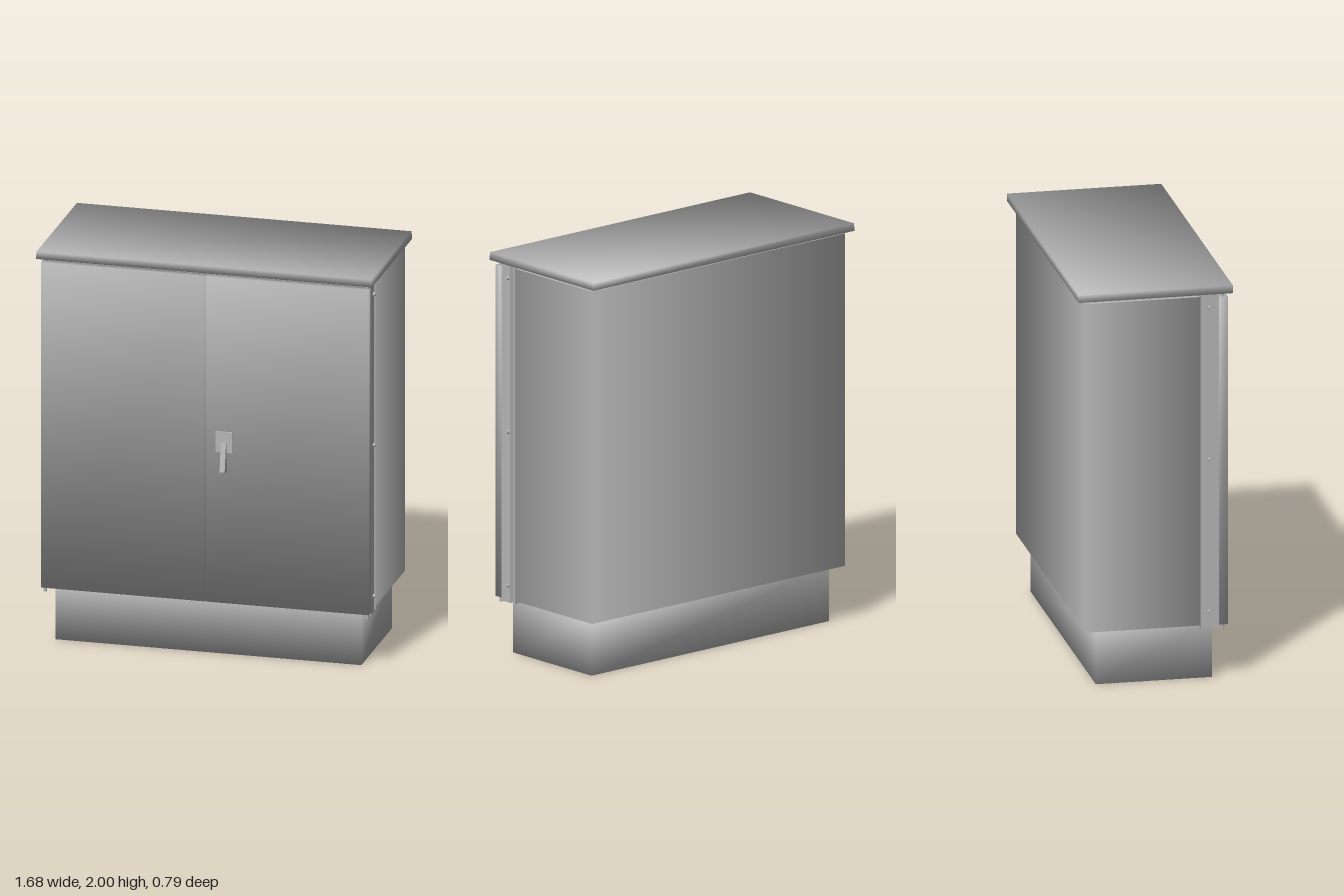
import * as THREE from 'three';

const steel = new THREE.MeshStandardMaterial({ color: 0xb6b6b6 });
steel.name = 'grey steel';

function add(group, geometry, name) {
  const mesh = new THREE.Mesh(geometry, steel);
  mesh.name = name;
  group.add(mesh);
  return mesh;
}

// Box given by its limits on each axis
function box([x0, x1], [y0, y1], [z0, z1]) {
  return new THREE.BoxGeometry(x1 - x0, y1 - y0, z1 - z0)
    .translate((x0 + x1) / 2, (y0 + y1) / 2, (z0 + z1) / 2);
}

// Box with corner normals shared by its faces; wallsOnly leaves out top and bottom
function softBox(xs, ys, zs, wallsOnly = false) {
  const g = box(xs, ys, zs);
  g.computeBoundingBox();
  const c = g.boundingBox.getCenter(new THREE.Vector3());
  const p = g.attributes.position;
  const n = new THREE.Vector3();
  for (let i = 0; i < p.count; i++) {
    n.fromBufferAttribute(p, i).sub(c);
    n.set(Math.sign(n.x), wallsOnly ? 0 : Math.sign(n.y), Math.sign(n.z)).normalize();
    g.attributes.normal.setXYZ(i, n.x, n.y, n.z);
  }
  if (wallsOnly) {
    const index = Array.from(g.index.array);
    g.setIndex([...index.slice(0, 12), ...index.slice(24)]);
    g.clearGroups();
  }
  return g;
}

function extrude(points, depth) {
  const shape = new THREE.Shape(points.map(([x, y]) => new THREE.Vector2(x, y)));
  return new THREE.ExtrudeGeometry(shape, { depth, bevelEnabled: false });
}

export function createModel() {
  const model = new THREE.Group();
  model.name = 'cabinet';

  // Plinth and body shell
  add(model, softBox([-0.765, 0.765], [0, 0.285], [-0.295, 0.28]), 'plinth');
  add(model, softBox([-0.815, 0.815], [0.28, 1.945], [-0.355, 0.21], true), 'bodyWalls');
  add(model, box([-0.814, 0.814], [0.281, 0.29], [-0.354, 0.21]), 'bodyFloor');
  add(model, box([-0.814, 0.814], [1.935, 1.944], [-0.354, 0.21]), 'bodyCeiling');
  add(model, box([-0.79, 0.79], [0.281, 1.944], [0.2, 0.3]), 'frontFrame');

  // Neck and roof, with the roof edges leaning in slightly
  add(model, box([-0.79, 0.79], [1.94, 1.97], [-0.32, 0.31]), 'roofNeck');
  const roof = softBox([-0.84, 0.84], [1.962, 2], [-0.395, 0.367]);
  const p = roof.attributes.position;
  for (let i = 0; i < p.count; i++) {
    if (p.getY(i) > 1.99) p.setX(i, p.getX(i) * 0.996);
  }
  add(model, roof, 'roof');

  // Mirrored doors, side rails, screws and hinge pins
  for (const s of [-1, 1]) {
    const side = s > 0 ? 'left' : 'right';
    const span = (a, b) => [Math.min(s * a, s * b), Math.max(s * a, s * b)];
    add(model, softBox(span(0.002, 0.82), [0.28, 1.94], [0.302, 0.345]), side + 'Door');

    // Rail cross-section is drawn in x and -z, then stood upright
    const profile = [[0.785, -0.302], [0.818, -0.302], [0.818, -0.24], [0.802, -0.235],
      [0.802, -0.215], [0.816, -0.208], [0.785, -0.208]].map(([x, z]) => [s * x, z]);
    const rail = extrude(profile, 1.69).rotateX(-Math.PI / 2).translate(0, 0.265, 0);
    add(model, rail, side + 'Rail');

    for (const y of [0.35, 1.12, 1.89]) {
      const screw = new THREE.CylinderGeometry(0.008, 0.011, 0.014, 12).rotateZ(-s * Math.PI / 2);
      add(model, screw, side + 'RailScrew').position.set(s * 0.823, y, 0.255);
    }
    for (const y of [0.268, 1.948]) {
      add(model, new THREE.CylinderGeometry(0.008, 0.008, 0.026, 12), side + 'HingePin')
        .position.set(s * 0.805, y, 0.32);
    }
  }

  // Handle: mounting plate and lever swung away from the door
  const handle = new THREE.Group();
  handle.name = 'handle';
  add(handle, box([0.055, 0.14], [1.05, 1.155], [0.344, 0.353]), 'handlePlate');
  const lever = extrude([[-0.35, 1.1], [-0.367, 1.1], [-0.392, 0.962], [-0.347, 0.946], [-0.357, 1.04]], 0.026);
  add(handle, lever.rotateY(Math.PI / 2).translate(0.085, 0, 0), 'handleLever');
  model.add(handle);

  return model;
}
